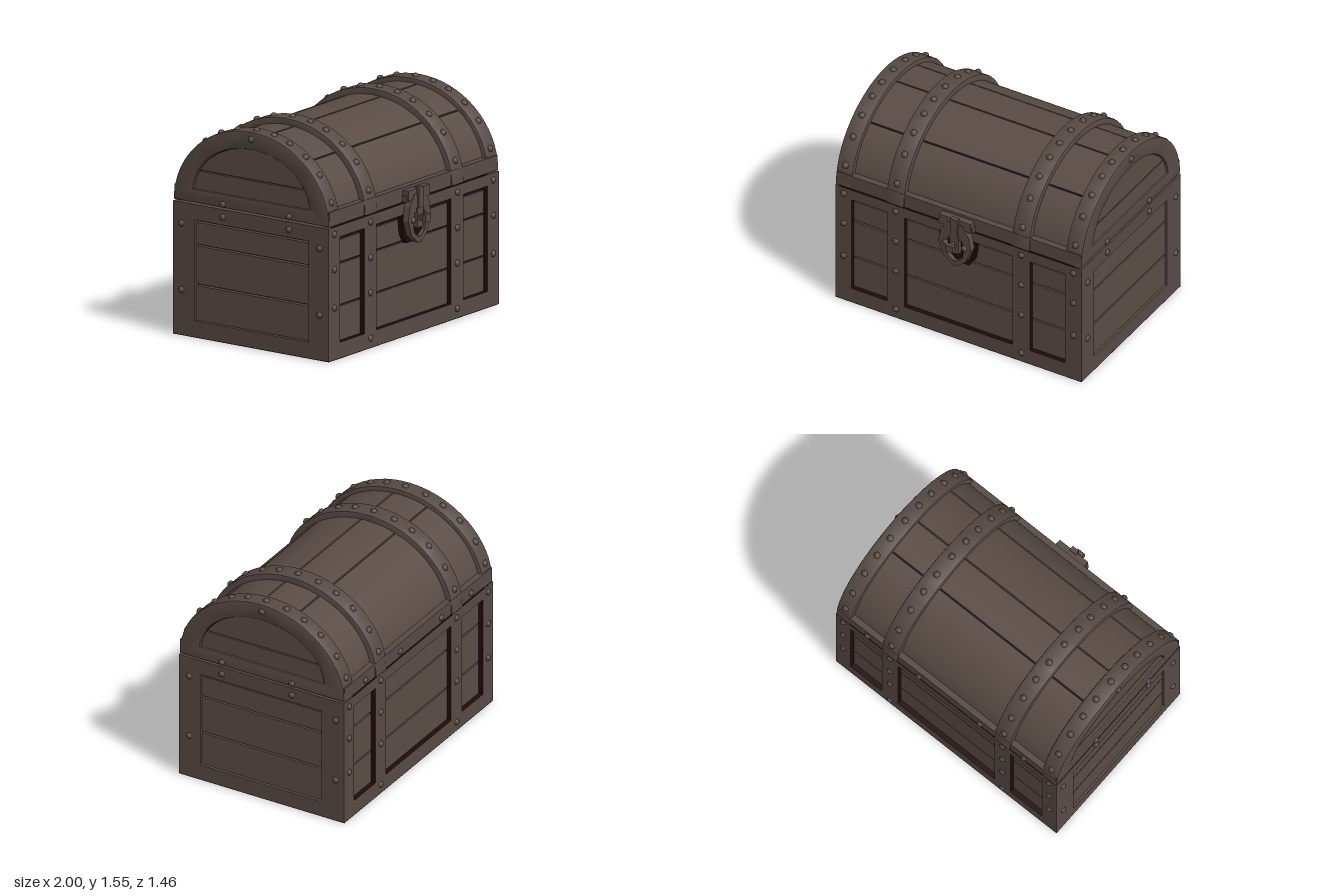
import * as THREE from 'three';
import { toCreasedNormals } from 'three/addons/utils/BufferGeometryUtils.js';

const CZ = -0.05, BASE = 0.95; // middle of the chest in z, height of the lid seam

export function createModel() {
  const chest = new THREE.Group();
  chest.name = 'treasureChest';
  const mat = (name, color) => {
    const m = new THREE.MeshStandardMaterial({ color });
    m.name = name;
    return m;
  };
  const wood = mat('brown wood', 0x5a4c45);
  const metal = mat('brown metal', 0x574a44);
  const dark = mat('dark gap', 0x220909);

  const add = (name, geo, material, parent = chest) => {
    const m = new THREE.Mesh(geo, material);
    m.name = name;
    parent.add(m);
    return m;
  };
  // Box given by its limits
  const box = (name, material, x0, x1, y0, y1, z0, z1) => {
    const g = new THREE.BoxGeometry(x1 - x0, y1 - y0, z1 - z0);
    g.translate((x0 + x1) / 2, (y0 + y1) / 2, (z0 + z1) / 2);
    return add(name, g, material);
  };
  const rect = (C, x0, x1, y0, y1) => new C([[x0, y0], [x1, y0], [x1, y1], [x0, y1]].map(p => new THREE.Vector2(...p)));
  // Shape drawn in (z, y) and extruded from x0 to x1
  const alongX = (shape, x0, x1, bevel = 0) => {
    const g = new THREE.ExtrudeGeometry(shape, {
      depth: x1 - x0 - 2 * bevel, bevelEnabled: bevel > 0, bevelSize: bevel,
      bevelThickness: bevel, bevelOffset: -bevel, bevelSegments: 2,
    });
    g.rotateY(-Math.PI / 2);
    g.translate(x1 - bevel, 0, 0);
    return toCreasedNormals(g, 0.6);
  };
  // Points on an ellipse in (z, y), angles in degrees from the front
  const arc = (a, b, y, from, to, n = 32) => Array.from({ length: n + 1 }, (_, i) => {
    const t = THREE.MathUtils.degToRad(from + (to - from) * i / n);
    return new THREE.Vector2(CZ + a * Math.cos(t), y + b * Math.sin(t));
  });
  const ring = (a, b, t, from, to) => new THREE.Shape(
    [...arc(a, b, BASE, from, to), ...arc(a - t, b - t, BASE, from, to).reverse()]);
  // Dome-headed stud pointing along a normal
  const studs = new THREE.Group();
  studs.name = 'studs';
  chest.add(studs);
  const studGeo = new THREE.SphereGeometry(0.025, 8, 4, 0, Math.PI * 2, 0, Math.PI / 2).scale(1, 0.9, 1);
  const stud = (x, y, z, nx, ny, nz) => {
    const m = add('stud', studGeo, metal, studs);
    m.position.set(x, y, z);
    m.quaternion.setFromUnitVectors(new THREE.Vector3(0, 1, 0), new THREE.Vector3(nx, ny, nz).normalize());
  };

  // Body: dark inner core and underside
  box('bodyCore', dark, -0.93, 0.93, 0.01, 0.96, CZ - 0.61, CZ + 0.61);
  box('underside', dark, -0.98, 0.98, 0, 0.005, CZ - 0.66, CZ + 0.66);

  // Corner posts
  for (const sx of [-1, 1]) for (const sz of [-1, 1]) {
    const x = sx * 0.92, z = CZ + sz * 0.605;
    box('cornerPost', metal, x - 0.06, x + 0.06, 0.005, 0.94, z - 0.055, z + 0.055);
  }

  // Front and back frames with three recessed, planked openings
  const openings = [[-0.85, -0.57], [-0.43, 0.43], [0.57, 0.85]];
  for (const s of [-1, 1]) {
    const shape = rect(THREE.Shape, -0.95, 0.95, 0.005, 0.94);
    for (const [x0, x1] of openings) shape.holes.push(rect(THREE.Path, x0, x1, 0.115, 0.86));
    const g = new THREE.ExtrudeGeometry(shape, { depth: 0.06, bevelEnabled: false });
    g.translate(0, 0, s > 0 ? CZ + 0.6 : CZ - 0.66);
    add(s > 0 ? 'frontFrame' : 'backFrame', g, [metal, dark]);
    const z = CZ + s * 0.61;
    for (const [x0, x1] of openings)
      for (const [y0, y1] of [[0.11, 0.355], [0.367, 0.655], [0.668, 0.825]])
        box('bodyPlank', wood, x0, x1, y0, y1, z - 0.015, z + 0.015);
  }

  // End frames with one planked opening each
  for (const s of [-1, 1]) {
    const shape = rect(THREE.Shape, CZ - 0.62, CZ + 0.62, 0.005, 0.94);
    shape.holes.push(rect(THREE.Path, -0.53, 0.44, 0.115, 0.83));
    const g = alongX(shape, s > 0 ? 0.92 : -0.98, s > 0 ? 0.98 : -0.92);
    add('endFrame', g, metal);
    for (const [y0, y1] of [[0.12, 0.365], [0.378, 0.645], [0.658, 0.812]])
      box('endPlank', wood, s * 0.945 - 0.02, s * 0.945 + 0.02, y0, y1, -0.527, 0.437);
  }

  // Lid: dark core, curved planks, front and back rails
  add('lidCore', alongX(new THREE.Shape(arc(0.59, 0.495, BASE, 0, 180)), -0.945, 0.945), dark);
  for (const [from, to] of [[11.5, 48.6], [49.6, 84], [85, 109.2], [110.2, 168.5]])
    add('lidPlank', alongX(ring(0.628, 0.54, 0.05, from, to), -0.87, 0.87), wood);
  for (const s of [-1, 1]) {
    const z = CZ + s * 0.62;
    box('lidRail', metal, -0.97, 0.97, BASE, 1.055, z - 0.038, z + 0.038);
  }

  // Straps over the lid
  for (const s of [-1, 1])
    add('lidStrap', alongX(ring(0.668, 0.585, 0.08, 0, 180), s * 0.5 - 0.07, s * 0.5 + 0.07, 0.008), metal);

  // Arched lid ends, each with a planked window
  for (const s of [-1, 1]) {
    const shape = new THREE.Shape(arc(0.66, 0.575, BASE, 0, 180));
    shape.holes.push(new THREE.Path(arc(0.497, 0.378, 1.02, 4, 176)));
    add('lidEnd', alongX(shape, s > 0 ? 0.85 : -0.98, s > 0 ? 0.98 : -0.85, 0.012), metal);
    const lower = new THREE.Shape([...arc(0.49, 0.375, 1.022, 4, 24.5, 6), ...arc(0.49, 0.375, 1.022, 155.5, 176, 6)]);
    const upper = new THREE.Shape(arc(0.49, 0.375, 1.022, 26, 154));
    for (const part of [lower, upper])
      add('lidEndPlank', alongX(part, s * 0.95 - 0.018, s * 0.95 + 0.018), wood);
  }

  // Studs over the lid bands
  for (const x of [-0.915, -0.5, 0.5, 0.915]) {
    const [a, b] = Math.abs(x) > 0.6 ? [0.657, 0.572] : [0.665, 0.582];
    for (const deg of [16, 36, 51, 65, 77, 90, 104, 117, 131, 148, 164]) {
      const t = THREE.MathUtils.degToRad(deg), c = Math.cos(t), n = Math.sin(t);
      stud(x, BASE + b * n, CZ + a * c, 0, n / b, c / a);
    }
  }
  // Studs on the front, back and ends
  for (const s of [-1, 1]) {
    const z = CZ + s * 0.656;
    for (const x of [-0.5, 0.5]) for (const y of [0.07, 0.39, 0.64, 0.89]) stud(x, y, z, 0, 0, s);
    for (const x of [-0.915, 0.915]) for (const y of [0.37, 0.64, 0.89]) stud(x, y, z, 0, 0, s);
    for (const x of [-0.69, -0.3, 0.24, 0.7]) if (s < 0) stud(x, 0.99, z, 0, 0, s);
    const x = s * 0.976;
    for (const [y, zs] of [[0.79, [0.53, -0.64]], [0.32, [0.53, -0.64]], [0.885, [0.27, -0.29]], [0.975, [0.27, -0.29]], [1.47, [CZ]]])
      for (const sz of zs) stud(x, y, sz, s, 0, 0);
  }

  // Latch: dark backing, shield, hinge bar, hasp and pin
  const outline = pts => [...pts, ...pts.slice().reverse().map(([x, y]) => [-x, y])].map(p => new THREE.Vector2(...p));
  const plate = (name, shape, z0, depth, material) => {
    const g = new THREE.ExtrudeGeometry(shape, { depth, bevelEnabled: false });
    g.translate(0, 0, z0);
    add(name, g, material);
  };
  plate('latchBacking', new THREE.Shape(outline([[0.09, 0.655], [0.13, 0.72], [0.15, 0.86], [0.1, 0.87]].map(([x, y]) => [x, y]))), 0.58, 0.034, dark);
  const shield = new THREE.Shape(outline([[0.012, 0.65], [0.09, 0.71], [0.13, 0.82], [0.11, 0.92], [0.06, 1.0]]));
  shield.holes.push(new THREE.Path(outline([[0.01, 0.69], [0.06, 0.73], [0.075, 0.81], [0.055, 0.87]])));
  plate('latchShield', shield, 0.605, 0.055, metal);
  plate('keyholePlate', new THREE.Shape(outline([[0.01, 0.68], [0.07, 0.73], [0.08, 0.82], [0.06, 0.88]])), 0.61, 0.02, dark);
  box('latchBar', metal, -0.125, 0.125, 0.965, 1.035, 0.6, 0.655);
  for (const s of [-1, 1]) {
    box('latchBarEnd', metal, s * 0.115 - 0.02, s * 0.115 + 0.02, 0.955, 1.0, 0.6, 0.65);
    stud(s * 0.075, 0.82, 0.655, 0, 0, 1);
  }
  box('hasp', metal, -0.028, 0.028, 0.9, 1.045, 0.64, 0.675);
  box('haspTongue', metal, -0.035, 0.035, 0.76, 0.9, 0.63, 0.668);
  box('haspPin', metal, -0.016, 0.016, 0.81, 0.85, 0.66, 0.72);
  box('haspPinHead', metal, -0.03, 0.03, 0.805, 0.86, 0.705, 0.735);
  return chest;
}
